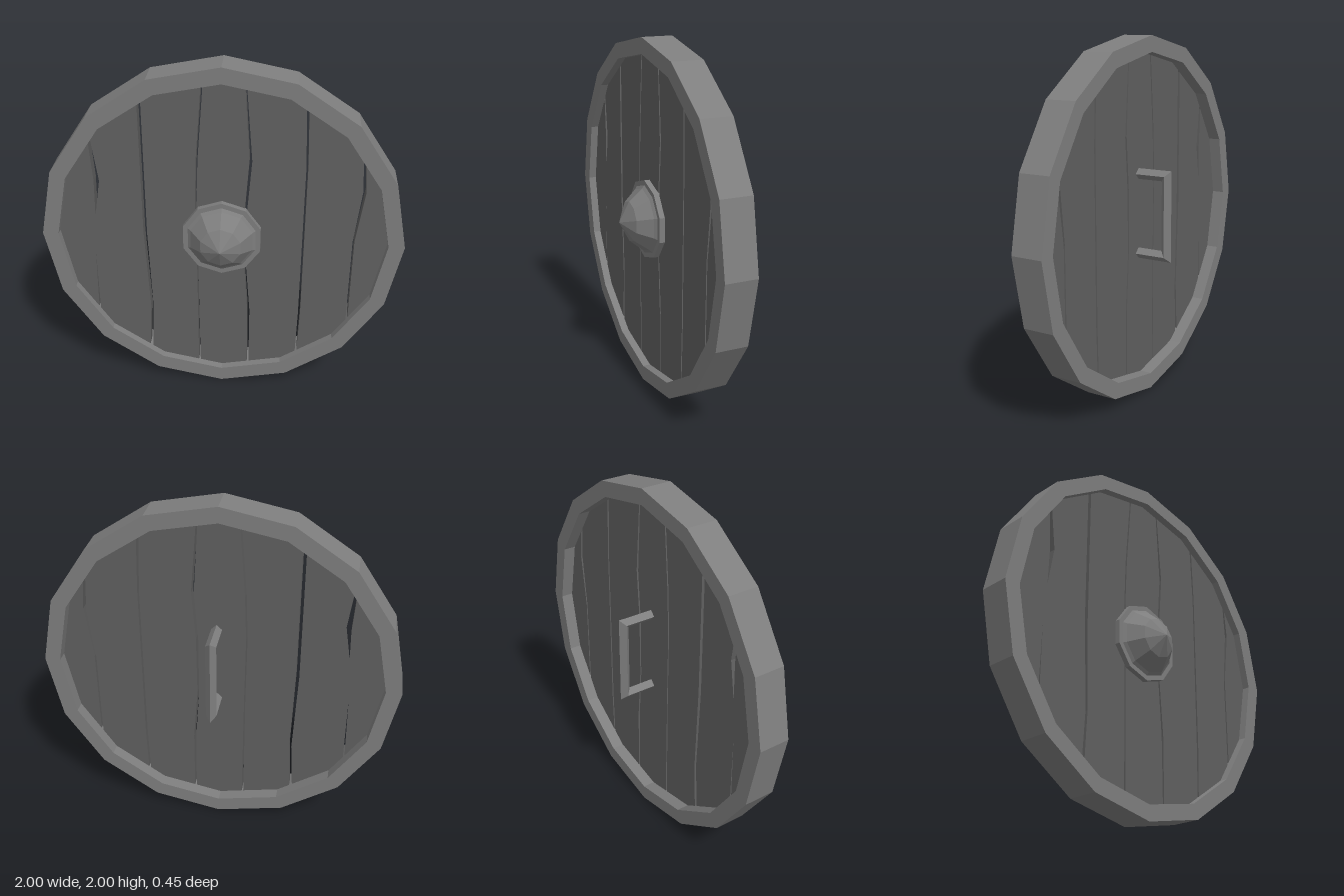
import * as THREE from 'three';

const metal = new THREE.MeshStandardMaterial({ color: 0x7e7e7e, flatShading: true });
const wood = new THREE.MeshStandardMaterial({ color: 0x606060, flatShading: true });

function add(group, name, geometry, material) {
  const mesh = new THREE.Mesh(geometry, material);
  mesh.name = name;
  group.add(mesh);
}

// Faceted ring or dome turned about the z axis; profile is [radius, z]
function turned(profile, sides) {
  const pts = profile.map(([r, z]) => new THREE.Vector2(r, z));
  return new THREE.LatheGeometry(pts, sides).rotateX(Math.PI / 2);
}

// Seams between planks, top to bottom: [y, left side x, right side x]
const seams = [
  [[0.6, -0.715, -0.705], [0.32, -0.698, -0.668], [0.1, -0.704, -0.704], [-0.12, -0.72, -0.72], [-0.6, -0.73, -0.72]],
  [[0.8, -0.44, -0.42], [0, -0.44, -0.42], [-0.5, -0.418, -0.404], [-0.8, -0.437, -0.42]],
  [[0.9, -0.105, -0.095], [0.47, -0.14, -0.13], [0.2, -0.148, -0.14], [-0.2, -0.142, -0.135], [-0.9, -0.14, -0.13]],
  [[0.9, 0.115, 0.123], [0.47, 0.145, 0.16], [0.18, 0.125, 0.138], [-0.18, 0.125, 0.135], [-0.5, 0.147, 0.16], [-0.9, 0.15, 0.16]],
  [[0.8, 0.428, 0.442], [0.45, 0.445, 0.455], [-0.5, 0.443, 0.455], [-0.8, 0.435, 0.445]],
  [[0.6, 0.735, 0.745], [0.31, 0.752, 0.77], [0, 0.72, 0.73], [-0.6, 0.72, 0.73]],
];
const R = 0.94; // plank ends are buried inside the rim
const FRONT = 0.044, BACK = -0.018;

// One side of a seam, with its two ends placed on the circle
function edge(seam, side) {
  return seam.map((p, i) => {
    const x = p[side];
    const y = Math.sqrt(R * R - x * x);
    return new THREE.Vector2(x, i === 0 ? y : i === seam.length - 1 ? -y : p[0]);
  });
}

// Points strictly between a and b, clockwise along the circle
function arc(a, b) {
  const t0 = Math.atan2(a.y, a.x);
  let d = Math.atan2(b.y, b.x) - t0;
  while (d > 0) d -= 2 * Math.PI;
  return [1, 2, 3, 4, 5].map(i => new THREE.Vector2(R * Math.cos(t0 + d * i / 6), R * Math.sin(t0 + d * i / 6)));
}

function plank(i) {
  const left = i > 0 ? edge(seams[i - 1], 2).reverse() : [new THREE.Vector2(-R, 0)];
  const right = i < seams.length ? edge(seams[i], 1) : [new THREE.Vector2(R, 0)];
  const outline = [
    ...left, ...arc(left[left.length - 1], right[0]),
    ...right, ...arc(right[right.length - 1], left[0]),
  ];
  return new THREE.ExtrudeGeometry(new THREE.Shape(outline), { depth: FRONT - BACK, bevelEnabled: false })
    .translate(0, 0, BACK);
}

// Diamond bar bent into a mitred bracket in the yz plane
function handleGeometry() {
  const r = 0.03, x = 0.022, top = 0.255, bottom = -0.195, foot = BACK + 0.01, back = -0.195;
  // Each section: centre y, z and the mitred outward direction
  const path = [[top, foot, 1, 0], [top, back, 1, -1], [bottom, back, -1, -1], [bottom, foot, -1, 0]];
  const pos = [], idx = [];
  for (const [y, z, dy, dz] of path) {
    pos.push(x, y + r * dy, z + r * dz, x + r, y, z, x, y - r * dy, z - r * dz, x - r, y, z);
  }
  for (let s = 0; s < 3; s++) {
    for (let k = 0; k < 4; k++) {
      const a = s * 4 + k, b = s * 4 + (k + 1) % 4;
      idx.push(a, b, a + 4, b, b + 4, a + 4);
    }
  }
  const g = new THREE.BufferGeometry();
  g.setAttribute('position', new THREE.Float32BufferAttribute(pos, 3));
  g.setIndex(idx);
  g.computeVertexNormals();
  return g;
}

export function createModel() {
  const shield = new THREE.Group();
  shield.name = 'roundShield';
  shield.position.y = 1;

  // Sixteen-sided rim
  const d = 0.088;
  add(shield, 'rim', turned([[0.912, -d], [1, -d], [1, d], [0.912, d], [0.912, -d]], 16), metal);

  // Wooden planks with uneven gaps
  for (let i = 0; i <= seams.length; i++) add(shield, 'plank' + (i + 1), plank(i), wood);

  // Ten-sided boss with its flange
  const boss = [[0.225, 0.04], [0.225, 0.075], [0.197, 0.075], [0.18, 0.088], [0.115, 0.165], [0, 0.225]];
  add(shield, 'boss', turned(boss, 10), metal);

  // Grip on the back
  add(shield, 'handle', handleGeometry(), metal);

  const model = new THREE.Group();
  model.add(shield);
  return model;
}
